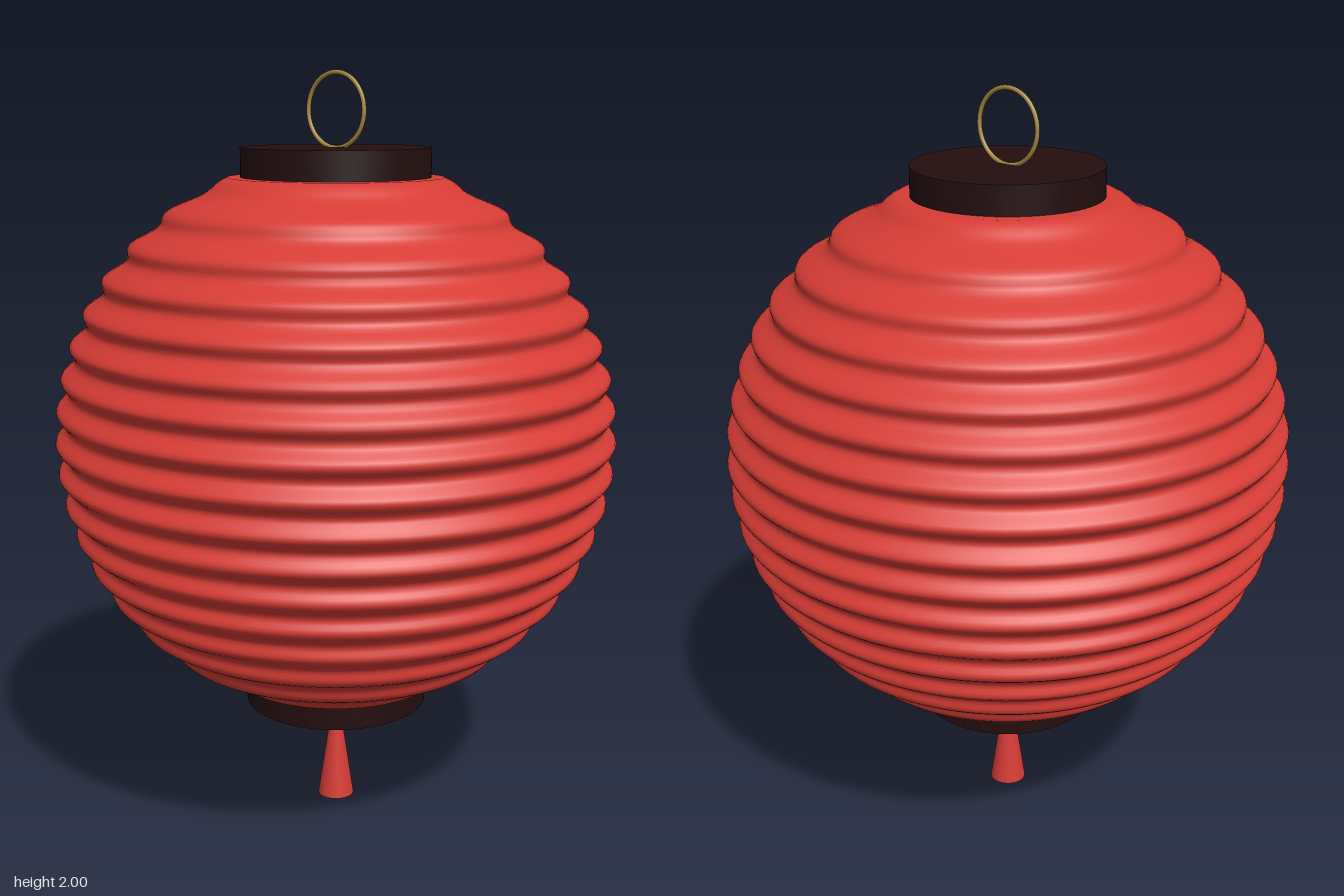
import * as THREE from 'three';

const material = (name, color) => {
  const m = new THREE.MeshStandardMaterial({ color });
  m.name = name;
  return m;
};

export function createModel() {
  const red = material('red paper', 0xd63c35);
  const dark = material('dark wood', 0x240e0f);
  const brass = material('brass', 0xa88842);

  const lantern = new THREE.Group();
  lantern.name = 'lantern';
  const add = (name, geometry, mat, y) => {
    const mesh = new THREE.Mesh(geometry, mat);
    mesh.name = name;
    mesh.position.y = y;
    lantern.add(mesh);
    return mesh;
  };

  // Ribbed paper globe: a truncated sphere with evenly spaced rounded ribs
  const half = 0.68, radius = 0.731, ribs = 16, steps = ribs * 10;
  const profile = [new THREE.Vector2(0.2, -half)];
  for (let i = 0; i <= steps; i++) {
    const y = -half + (2 * half * i) / steps;
    const ripple = 0.014 * Math.cos((2 * Math.PI * ribs * i) / steps);
    profile.push(new THREE.Vector2(Math.sqrt(radius * radius - y * y) + ripple, y));
  }
  profile.push(new THREE.Vector2(0.2, half));
  add('paperGlobe', new THREE.LatheGeometry(profile, 80), red, 1.05);

  // Matching end caps
  for (const [name, y] of [['topCap', 1.766], ['bottomCap', 0.336]]) {
    add(name, new THREE.CylinderGeometry(0.248, 0.248, 0.08, 64), dark, y);
  }

  // Hanging ring
  add('hangingRing', new THREE.TorusGeometry(0.095, 0.006, 12, 64), brass, 1.899);

  // Tassel
  add('tasselBead', new THREE.SphereGeometry(0.037, 24, 16), red, 0.263);
  add('tasselSkirt', new THREE.CylinderGeometry(0.014, 0.05, 0.24, 32), red, 0.12);

  return lantern;
}
